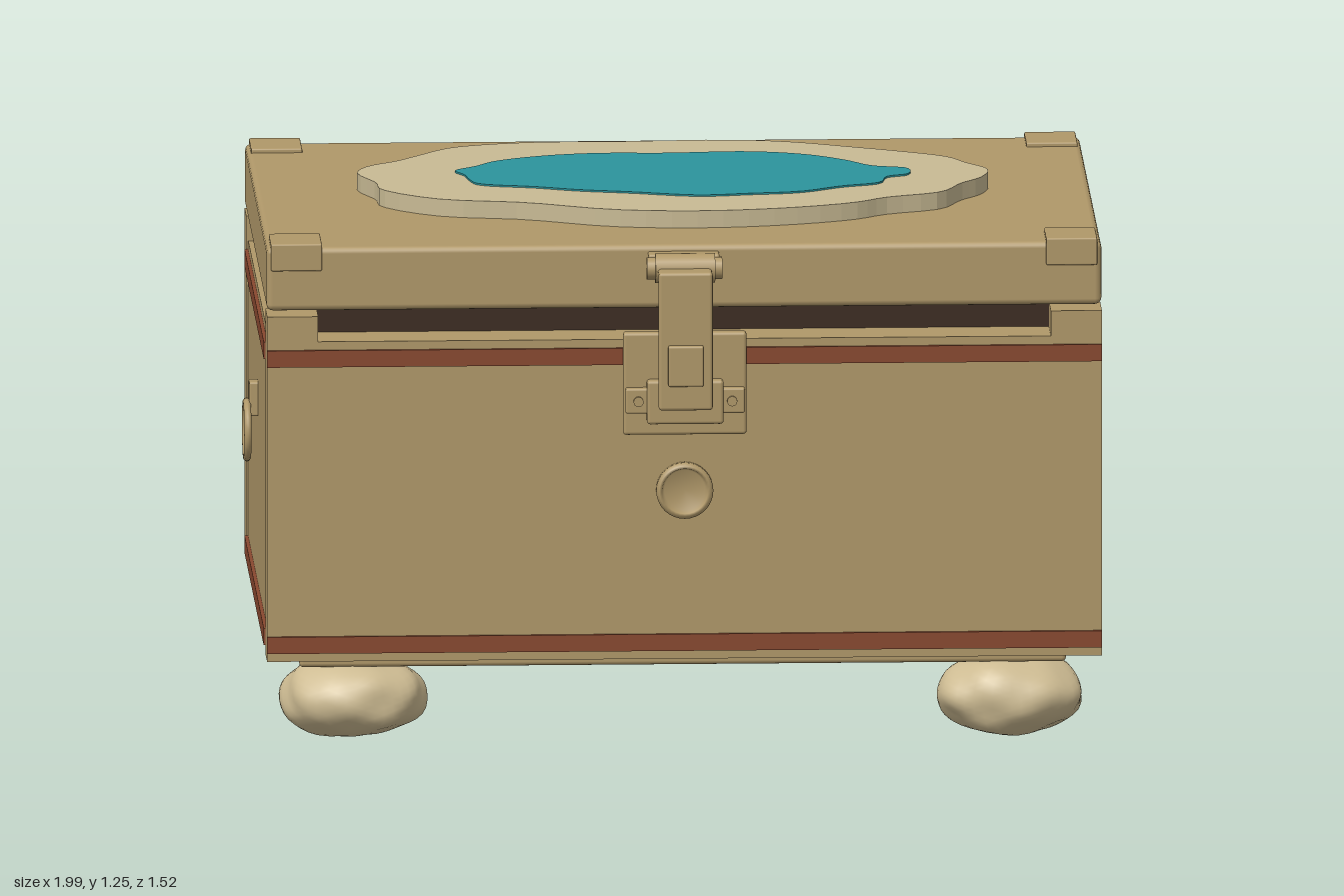
import * as THREE from 'three';
import { mergeVertices } from 'three/addons/utils/BufferGeometryUtils.js';
import { RoundedBoxGeometry } from 'three/addons/geometries/RoundedBoxGeometry.js';

const mat = (name, color) => Object.assign(new THREE.MeshStandardMaterial({ color }), { name });

export function createModel() {
  const model = new THREE.Group();
  model.name = 'chest';
  const tan = mat('tan', 0xb09869);
  const cream = mat('cream', 0xc8ba94);
  const stone = mat('stone', 0xcdbb92);
  const red = mat('red brown', 0x88482f);
  const dark = mat('dark brown', 0x3b2b20);
  const teal = mat('teal', 0x2c949c);

  const add = (name, geometry, material, parent = model) => {
    const mesh = new THREE.Mesh(geometry, material);
    mesh.name = name;
    parent.add(mesh);
    return mesh;
  };
  // Box given by its extents; r rounds the edges
  const box = (name, [x0, x1], [y0, y1], [z0, z1], material = tan, r = 0, parent = model) => {
    const s = [x1 - x0, y1 - y0, z1 - z0];
    const g = r ? new RoundedBoxGeometry(...s, 2, r) : new THREE.BoxGeometry(...s);
    g.translate((x0 + x1) / 2, (y0 + y1) / 2, (z0 + z1) / 2);
    return add(name, g, material, parent);
  };
  // Cylinder lying along x
  const bar = (name, [x0, x1], y, z, r, parent) => {
    const g = new THREE.CylinderGeometry(r, r, x1 - x0, 20).rotateZ(Math.PI / 2);
    g.translate((x0 + x1) / 2, y, z);
    return add(name, g, tan, parent);
  };

  // Body
  box('body', [-0.965, 0.985], [0.24, 0.985], [-0.6, 0.56]);
  box('frontPanel', [-0.97, 0.99], [0.22, 0.985], [0.53, 0.63]);
  box('backPanel', [-0.97, 0.99], [0.22, 0.985], [-0.675, -0.58]);
  box('floorPanel', [-0.965, 0.985], [0.22, 0.24], [-0.58, 0.53]);
  box('baseTray', [-0.89, 0.91], [0.185, 0.225], [-0.58, 0.53], tan, 0.01);
  box('innerRim', [-0.85, 0.87], [0.98, 1.043], [-0.56, 0.515], dark);
  for (const x of [[-0.97, -0.85], [0.87, 0.99]])
    for (const z of [[0.53, 0.63], [-0.675, -0.58]])
      box('bodyCorner', x, [0.985, 1.045], z);

  // Painted bands around all four sides
  for (const y of [[0.24, 0.28], [0.925, 0.965]]) {
    box('frontBand', [-0.97, 0.99], y, [0.629, 0.637], red);
    box('backBand', [-0.97, 0.99], y, [-0.682, -0.674], red);
    box('rightBand', [-0.974, -0.964], y, [-0.58, 0.53], red);
    box('leftBand', [0.984, 0.994], y, [-0.58, 0.53], red);
  }

  // Lid with corner caps
  box('lid', [-0.97, 0.99], [1.053, 1.205], [-0.655, 0.605], tan, 0.015);
  for (const x of [[-0.96, -0.84], [0.86, 0.98]])
    for (const z of [[0.48, 0.612], [-0.662, -0.53]])
      box('lidCorner', x, [1.15, 1.215], z, tan, 0.004);

  // Lid ornament: closed smooth outlines as x, z pairs
  const slab = (name, p, y, h, material) => {
    const pts = [];
    for (let i = 0; i < p.length; i += 2) pts.push(new THREE.Vector3(p[i], -p[i + 1], 0));
    const curve = new THREE.CatmullRomCurve3(pts, true);
    const outline = curve.getPoints(90).slice(0, -1).map(v => new THREE.Vector2(v.x, v.y));
    const g = new THREE.ExtrudeGeometry(new THREE.Shape(outline), { depth: h, bevelEnabled: false });
    g.rotateX(-Math.PI / 2).translate(0, y, 0);
    add(name, g, material);
  };
  slab('shore', [-0.73, -0.08, -0.7, -0.16, -0.63, -0.22, -0.58, -0.28, -0.5, -0.37, -0.4, -0.41,
    -0.28, -0.43, -0.1, -0.43, 0.15, -0.44, 0.3, -0.41, 0.45, -0.34, 0.55, -0.29, 0.66, -0.22,
    0.7, -0.15, 0.75, -0.07, 0.73, 0.03, 0.68, 0.1, 0.63, 0.2, 0.5, 0.26, 0.42, 0.32, 0.25, 0.38,
    0.05, 0.405, -0.15, 0.38, -0.35, 0.29, -0.55, 0.24, -0.68, 0.12, -0.69, 0.04],
  1.2, 0.046, cream);
  slab('water', [-0.5, -0.08, -0.45, -0.13, -0.4, -0.19, -0.28, -0.25, -0.15, -0.275, 0, -0.27,
    0.2, -0.28, 0.33, -0.24, 0.42, -0.17, 0.48, -0.1, 0.56, -0.07, 0.56, 0, 0.51, 0.03,
    0.49, 0.1, 0.4, 0.14, 0.3, 0.2, 0.18, 0.22, 0.06, 0.235, -0.1, 0.19, -0.22, 0.16,
    -0.32, 0.12, -0.45, 0.08, -0.47, 0.03, -0.48, -0.03],
  1.243, 0.007, teal);

  // Front latch
  const latch = new THREE.Group();
  latch.name = 'latch';
  model.add(latch);
  box('latchPlate', [-0.135, 0.155], [0.76, 1.005], [0.625, 0.655], tan, 0.008, latch);
  box('latchBlock', [-0.08, 0.1], [0.79, 0.895], [0.65, 0.682], tan, 0.008, latch);
  box('staple', [-0.03, 0.05], [0.835, 0.88], [0.675, 0.715], tan, 0.005, latch);
  for (const x of [-0.1, 0.12]) {
    box('latchEar', [x - 0.03, x + 0.03], [0.815, 0.875], [0.65, 0.675], tan, 0.005, latch);
    const screw = new THREE.CylinderGeometry(0.012, 0.012, 0.012, 12).rotateX(Math.PI / 2);
    add('screw', screw.translate(x, 0.845, 0.677), tan, latch);
  }
  box('hasp', [-0.055, 0.072], [0.835, 1.148], [0.71, 0.743], tan, 0.008, latch);
  box('haspArm', [-0.055, 0.072], [1.13, 1.165], [0.655, 0.743], tan, 0.008, latch);
  box('haspButton', [-0.033, 0.05], [0.895, 0.992], [0.735, 0.758], tan, 0.005, latch);
  bar('haspPin', [-0.06, 0.08], 1.16, 0.658, 0.035, latch);
  bar('haspPinCore', [-0.08, 0.097], 1.16, 0.658, 0.026, latch);
  box('lidTab', [-0.075, 0.092], [1.13, 1.19], [0.6, 0.645], tan, 0.006, latch);

  // Keyhole ring on the front
  const profile = [[0, 0], [0.067, 0], [0.067, 0.018], [0.06, 0.025], [0.054, 0.025], [0.048, 0.008], [0, 0.008]];
  const ring = new THREE.LatheGeometry(profile.map(([r, y]) => new THREE.Vector2(r, y)), 32);
  const frontRing = add('keyRing', ring.rotateX(Math.PI / 2), tan);
  frontRing.material.side = THREE.DoubleSide;
  frontRing.position.set(0.01, 0.625, 0.63);

  // Hanging ring on the right side
  const pull = add('sideRing', new THREE.TorusGeometry(0.066, 0.009, 10, 32).rotateY(Math.PI / 2), tan);
  pull.position.set(-0.991, 0.645, -0.027);
  box('sideRingMount', [-0.986, -0.96], [0.68, 0.762], [-0.05, -0.005], tan, 0.005);

  // Back hinges
  for (const x of [-0.583, 0.605]) {
    const hinge = new THREE.Group();
    hinge.name = 'hinge';
    model.add(hinge);
    const narrow = [x - 0.072, x + 0.072];
    box('hingeTop', narrow, [1.04, 1.135], [-0.727, -0.645], tan, 0.006, hinge);
    bar('hingePin', [x - 0.108, x + 0.108], 1.045, -0.722, 0.038, hinge);
    box('hingePlate', narrow, [0.81, 1.03], [-0.704, -0.67], tan, 0.006, hinge);
  }

  // Stone feet: squashed spheres with lumps
  const lumps = (seed) => {
    let g = new THREE.IcosahedronGeometry(1, 7);
    g.deleteAttribute('normal');
    g.deleteAttribute('uv');
    g = mergeVertices(g, 1e-4);
    const p = g.attributes.position;
    const v = new THREE.Vector3();
    for (let i = 0; i < p.count; i++) {
      v.fromBufferAttribute(p, i);
      const n = Math.sin(3.1 * v.x + seed) * Math.sin(3.7 * v.y + 2 * seed) * Math.cos(3.3 * v.z - seed)
        + 0.5 * Math.sin(7 * v.x + 3 * seed) * Math.cos(6 * v.z + 5 * v.y + seed);
      v.multiplyScalar(1 + 0.06 * n);
      p.setXYZ(i, v.x * 0.175, v.y * 0.097, v.z * 0.147);
    }
    g.computeVertexNormals();
    g.computeBoundingBox();
    return g;
  };
  [[-0.76, 0.455], [0.78, 0.455], [-0.76, -0.5], [0.78, -0.5]].forEach(([x, z], i) => {
    const g = lumps(1.7 * i + 0.6);
    add('foot', g, stone).position.set(x, (i % 2 ? 0.004 : 0.008) - g.boundingBox.min.y, z);
  });

  return model;
}
